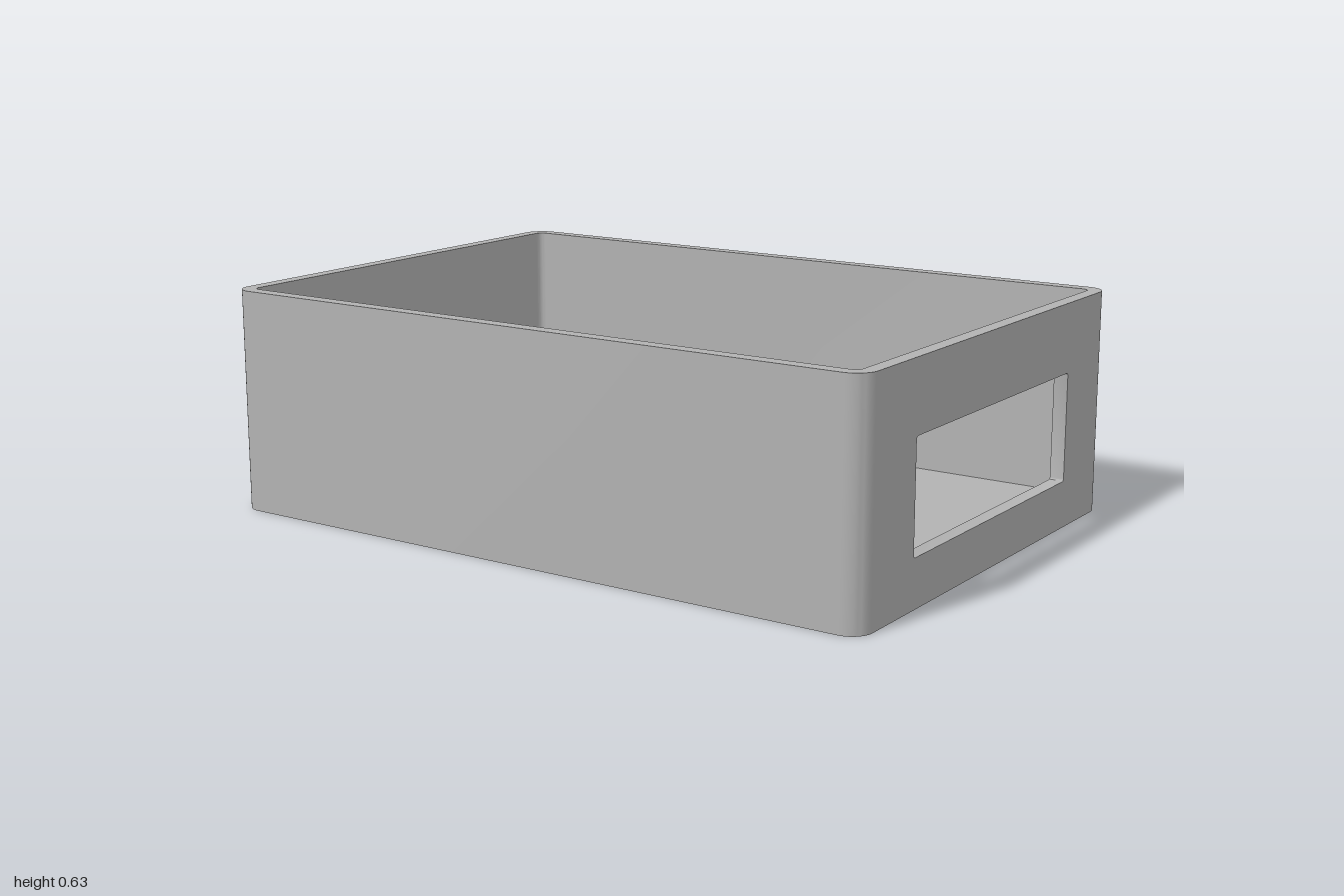
import * as THREE from 'three';
import { mergeGeometries, toCreasedNormals } from 'three/addons/utils/BufferGeometryUtils.js';

const W = 1, D = 0.6875, H = 0.627;     // half width, half depth, height
const WALL = 0.04, FLOOR = 0.04;
const R_OUT = 0.06, R_IN = 0.02;
const POST_TOP = 0.163;

// Counter-clockwise rounded rectangle, starting at the top of its right side
function roundedRect(hw, hh, r, steps, cy = 0) {
  const pts = [];
  [[1, 1], [-1, 1], [-1, -1], [1, -1]].forEach(([sx, sy], k) => {
    for (let i = 0; i <= steps; i++) {
      const a = (k + i / steps) * Math.PI / 2;
      pts.push(new THREE.Vector2(
        sx * (hw - r) + r * Math.cos(a), cy + sy * (hh - r) + r * Math.sin(a)));
    }
  });
  return pts;
}

// Strip along a path, swept from w0 to w1 (faces outward for a counter-clockwise path)
function band(pts, w0, w1) {
  const pos = [];
  for (let i = 0; i < pts.length - 1; i++) {
    const a = pts[i], b = pts[i + 1];
    pos.push(a.x, a.y, w0, b.x, b.y, w0, b.x, b.y, w1);
    pos.push(a.x, a.y, w0, b.x, b.y, w1, a.x, a.y, w1);
  }
  const g = new THREE.BufferGeometry();
  g.setAttribute('position', new THREE.Float32BufferAttribute(pos, 3));
  return g;
}

// Flat face from an outline with an optional hole
function face(pts, hole, w = 0) {
  const shape = new THREE.Shape(pts);
  if (hole) shape.holes.push(new THREE.Path(hole));
  const g = new THREE.ShapeGeometry(shape).toNonIndexed();
  g.deleteAttribute('normal');
  g.deleteAttribute('uv');
  return g.translate(0, 0, w);
}

// Flat side rectangle reaching between the rounded corners
const sideRect = (half, y0) => [
  new THREE.Vector2(-half, y0), new THREE.Vector2(half, y0),
  new THREE.Vector2(half, H), new THREE.Vector2(-half, H),
];

function boxGeometry() {
  const outer = roundedRect(W, D, R_OUT, 10);
  const inner = roundedRect(W - WALL, D - WALL, R_IN, 6);
  const opening = roundedRect(0.432, 0.151, 0.008, 3, 0.283);
  const openingLoop = [...opening, opening[0]].reverse();

  // Horizontal faces and the walls, drawn in plan
  const plan = [
    band(outer, 0, H),
    band([...inner].reverse(), FLOOR, H),
    face(outer, inner, H),
    face(inner, null, FLOOR),
  ].map(g => g.rotateX(-Math.PI / 2));
  const underside = face(outer).rotateX(Math.PI / 2);

  // Left end wall with the rectangular opening and its reveal
  const endOut = face(sideRect(D - R_OUT, 0), opening, W).rotateY(Math.PI / 2);
  const endIn = face(sideRect(D - WALL - R_IN, FLOOR), opening, WALL - W).rotateY(-Math.PI / 2);
  const reveal = band(openingLoop, W - WALL, W).rotateY(Math.PI / 2);

  return toCreasedNormals(mergeGeometries([...plan, underside, endOut, endIn, reveal]), 0.5);
}

export function createModel() {
  const group = new THREE.Group();
  group.name = 'enclosure';
  const grey = new THREE.MeshStandardMaterial({ color: 0xb2b2b2 });
  grey.name = 'grey plastic';

  const box = new THREE.Mesh(boxGeometry(), grey);
  box.name = 'openBox';
  group.add(box);

  // Hollow screw posts on the floor
  const profile = [[0.063, FLOOR], [0.063, POST_TOP], [0.025, POST_TOP], [0.025, FLOOR]]
    .map(([x, y]) => new THREE.Vector2(x, y));
  const postGeometry = toCreasedNormals(new THREE.LatheGeometry(profile, 40), 0.5);
  for (const x of [-0.84, 0.405]) {
    for (const z of [-0.526, 0.526]) {
      const post = new THREE.Mesh(postGeometry, grey);
      post.name = 'screwPost';
      post.position.set(x, 0, z);
      group.add(post);
    }
  }
  return group;
}
